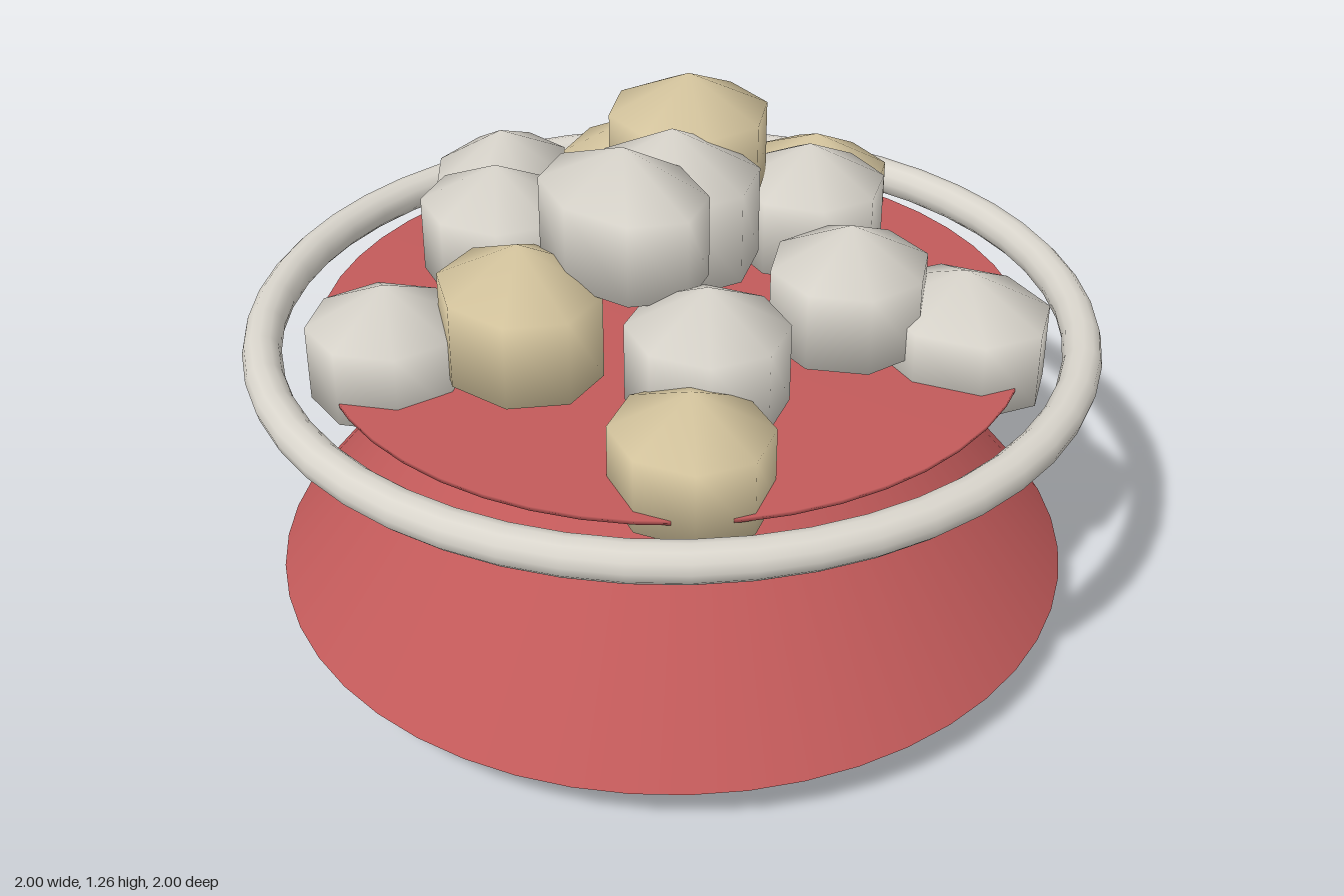
import * as THREE from 'three';

const mat = (name, color) => {
  const m = new THREE.MeshStandardMaterial({ color });
  m.name = name;
  return m;
};

export function createModel() {
  const group = new THREE.Group();
  const red = mat('red', 0xc25a5a);
  const white = mat('offWhite', 0xd9d5cc);
  const tan = mat('tan', 0xd6c69f);

  const add = (name, geometry, material) => {
    const mesh = new THREE.Mesh(geometry, material);
    mesh.name = name;
    group.add(mesh);
    return mesh;
  };

  // Turned stand: foot, flared skirt, then a flat plate on top
  const lathe = (...pts) =>
    new THREE.LatheGeometry(pts.map(([r, y]) => new THREE.Vector2(r, y)), 48);
  add('footBase', lathe([0, 0], [0.46, 0]), red);
  add('footSide', lathe([0.46, 0], [0.37, 0.12]), red);
  add('skirtUnderside', lathe([0.37, 0.12], [0.96, 0.12]), red);
  add('skirt', lathe([0.96, 0.12], [0.475, 0.725]), red);
  add('plate', lathe([0.475, 0.725], [0.83, 0.725], [0.83, 0.735], [0, 0.735]), red);

  // Floating rim ring
  const rim = add('rim', new THREE.TorusGeometry(0.954, 0.045, 12, 48), white);
  rim.rotation.x = Math.PI / 2;
  rim.position.y = 0.727;

  // Piled lumps: x, y, z, half width, half height, half depth, turn, material
  const lump = new THREE.SphereGeometry(1, 8, 3);
  const lumps = [
    // outer ring of five
    [0, 0.77, -0.68, 0.21, 0.2, 0.165, 0.6, white],
    [0.655, 0.765, -0.21, 0.165, 0.17, 0.19, 0.2, tan],
    [0.4, 0.765, 0.545, 0.18, 0.18, 0.21, 0.15, white],
    [-0.4, 0.77, 0.545, 0.168, 0.175, 0.18, 0.1, tan],
    [-0.645, 0.77, -0.22, 0.176, 0.18, 0.18, 0.3, white],
    // middle ring of six
    [0.43, 0.865, 0, 0.18, 0.185, 0.185, 0.2, white],
    [0.21, 0.865, 0.37, 0.185, 0.185, 0.18, 0.3, white],
    [-0.217, 0.865, 0.38, 0.175, 0.185, 0.18, 0.1, white],
    [-0.435, 0.87, 0, 0.175, 0.2, 0.205, -0.1, tan],
    [-0.22, 0.865, -0.385, 0.172, 0.185, 0.19, 0.1, white],
    [0.215, 0.865, -0.385, 0.195, 0.19, 0.18, 0.1, tan],
    // crown of the pile
    [0, 1.0, 0, 0.2, 0.215, 0.2, 0.2, white],
    [0.17, 1.075, -0.145, 0.187, 0.18, 0.19, 0.3, tan],
    [-0.205, 1.07, 0.08, 0.16, 0.19, 0.22, 0, white],
  ];
  lumps.forEach(([x, y, z, hx, hy, hz, turn, material], i) => {
    const mesh = add('lump' + (i + 1), lump, material);
    mesh.position.set(x, y, z);
    mesh.scale.set(hx / 0.86, hy, hz / 0.86);
    mesh.rotation.y = turn;
  });

  return group;
}
